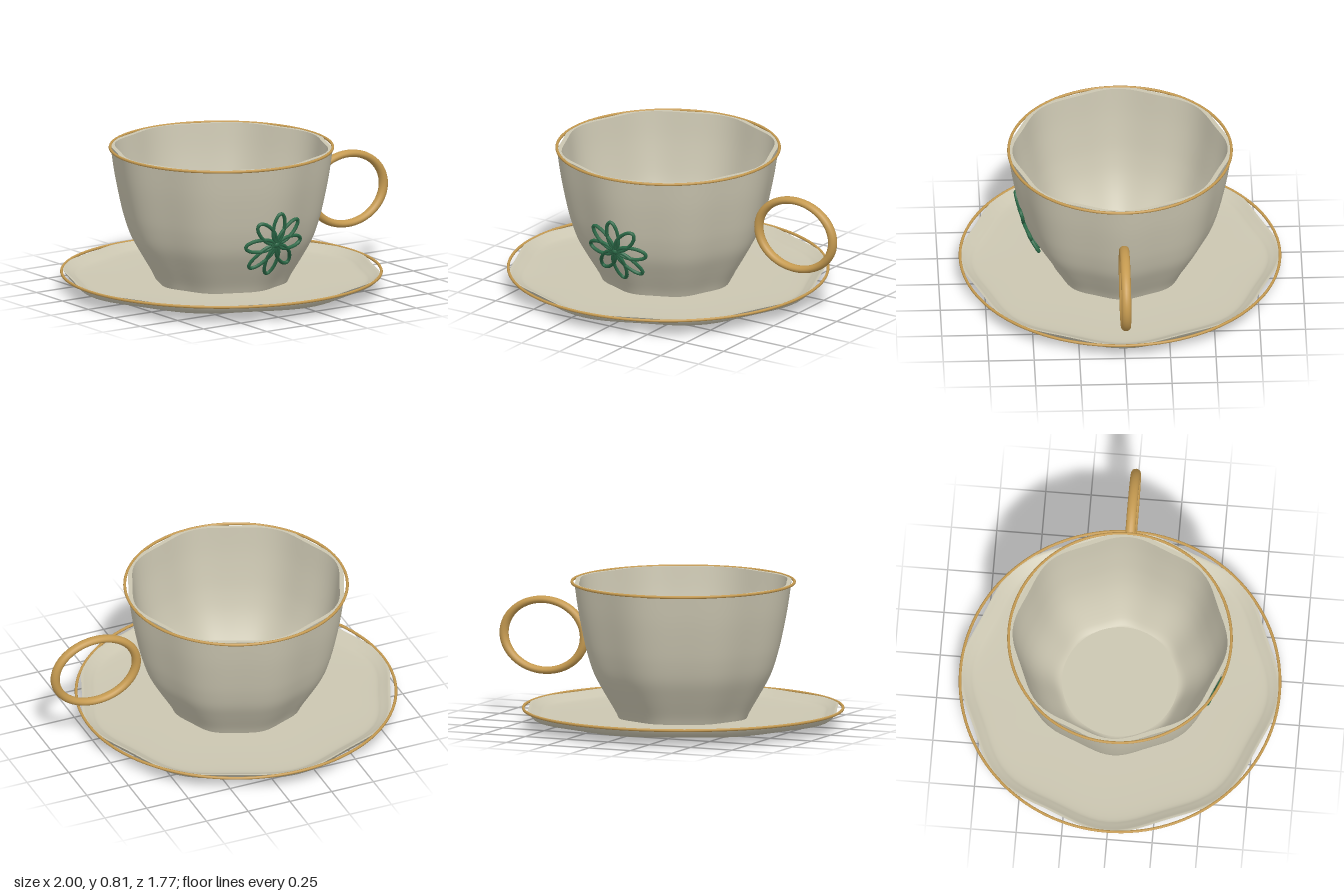
import * as THREE from 'three';
import { mergeVertices, toCreasedNormals } from 'three/addons/utils/BufferGeometryUtils.js';

const CX = -0.11; // axis of cup and saucer
const LOBES = 8;

const material = (name, color) => {
  const m = new THREE.MeshStandardMaterial({ color });
  m.name = name;
  return m;
};

// Smooth curve through a few [radius, height] points
const smooth = (points, n) =>
  new THREE.SplineCurve(points.map(([r, y]) => new THREE.Vector2(r, y))).getPoints(n);

// Turned profile whose radius ripples into eight soft sides
function lobedLathe(profile, depth) {
  let geo = new THREE.LatheGeometry(profile, 96);
  const p = geo.attributes.position;
  for (let i = 0; i < p.count; i++) {
    const x = p.getX(i), z = p.getZ(i);
    const k = 1 + depth * (Math.cos(LOBES * Math.atan2(x, z)) - 1);
    p.setX(i, x * k);
    p.setZ(i, z * k);
  }
  geo.deleteAttribute('uv');
  geo.deleteAttribute('normal');
  geo = mergeVertices(geo, 1e-5);
  return toCreasedNormals(geo, 0.7);
}

const CUP_OUTER = [
  [0.365, 0.05], [0.39, 0.1], [0.45, 0.2], [0.505, 0.3], [0.54, 0.4],
  [0.565, 0.5], [0.595, 0.65], [0.617, 0.8],
];

// Outer cup radius at a height
function cupRadius(y) {
  const i = Math.max(1, CUP_OUTER.findIndex(([, h]) => h >= y));
  const [r0, y0] = CUP_OUTER[i - 1], [r1, y1] = CUP_OUTER[i];
  return r0 + (r1 - r0) * (y - y0) / (y1 - y0);
}

export function createModel() {
  const model = new THREE.Group();
  const porcelain = material('porcelain', 0xcbc6b1);
  const gold = material('gold', 0xc59a50);
  const green = material('green', 0x2c6a48);

  const add = (name, geo, mat, x = CX, y = 0, z = 0, parent = model) => {
    const mesh = new THREE.Mesh(geo, mat);
    mesh.name = name;
    mesh.position.set(x, y, z);
    parent.add(mesh);
    return mesh;
  };

  // Cup: outside wall, thin lip, inside wall
  const inner = [[0.592, 0.8], [0.572, 0.65], [0.543, 0.5], [0.517, 0.4],
    [0.48, 0.3], [0.425, 0.2], [0.35, 0.1], [0.3, 0.085]];
  add('cup', lobedLathe([
    new THREE.Vector2(0, 0.05),
    ...smooth(CUP_OUTER, 28),
    ...smooth(inner, 28),
    new THREE.Vector2(0, 0.085),
  ], 0.02), porcelain);
  const floor = add('cupFloor', new THREE.CircleGeometry(0.32, 64), porcelain, CX, 0.095, 0);
  floor.rotation.x = -Math.PI / 2;

  // Saucer: recessed foot, shallow underside, upturned edge, dished top
  const foot = [[0, 0.01], [0.28, 0.01], [0.285, 0.005], [0.325, 0.005], [0.33, 0],
    [0.352, 0], [0.357, 0.018]].map(([r, y]) => new THREE.Vector2(r, y));
  add('saucer', lobedLathe([
    ...foot,
    ...smooth([[0.37, 0.02], [0.45, 0.032], [0.65, 0.037], [0.79, 0.043], [0.85, 0.06],
      [0.883, 0.1]], 24),
    ...smooth([[0.872, 0.1], [0.83, 0.078], [0.78, 0.063], [0.6, 0.056], [0.4, 0.054]], 20),
    new THREE.Vector2(0, 0.054),
  ], 0.02), porcelain);

  // Round gold bands on both edges
  for (const [name, r, y] of [['cupRim', 0.612, 0.798], ['saucerRim', 0.879, 0.098]]) {
    add(name, new THREE.TorusGeometry(r, 0.008, 8, 128), gold, CX, y).rotation.x = Math.PI / 2;
  }

  // Oval ring handle
  add('handle', new THREE.TorusGeometry(0.243, 0.025, 16, 64), gold, 0.73, 0.453)
    .scale.set(1, 0.81, 1.08);

  // Flower of eight looped petals lying against the front wall
  const flower = new THREE.Group();
  flower.name = 'flower';
  model.add(flower);
  for (let i = 0; i < 8; i++) {
    const a = i * Math.PI / 4, points = [];
    for (let j = 0; j < 20; j++) {
      const t = j * Math.PI / 10;
      const u = 0.098 + 0.083 * Math.cos(t), v = 0.036 * Math.sin(t);
      const x = u * Math.cos(a) - v * Math.sin(a);
      const y = 0.35 + u * Math.sin(a) + v * Math.cos(a);
      points.push(new THREE.Vector3(x, y, cupRadius(y) + 0.004 - 0.9 * x * x));
    }
    const loop = new THREE.CatmullRomCurve3(points, true);
    add('petal', new THREE.TubeGeometry(loop, 48, 0.01, 8, true), green, CX, 0, 0, flower);
  }
  add('flowerCentre', new THREE.SphereGeometry(0.02, 16, 12), green, CX, 0.35,
    cupRadius(0.35) + 0.002, flower);

  return model;
}
